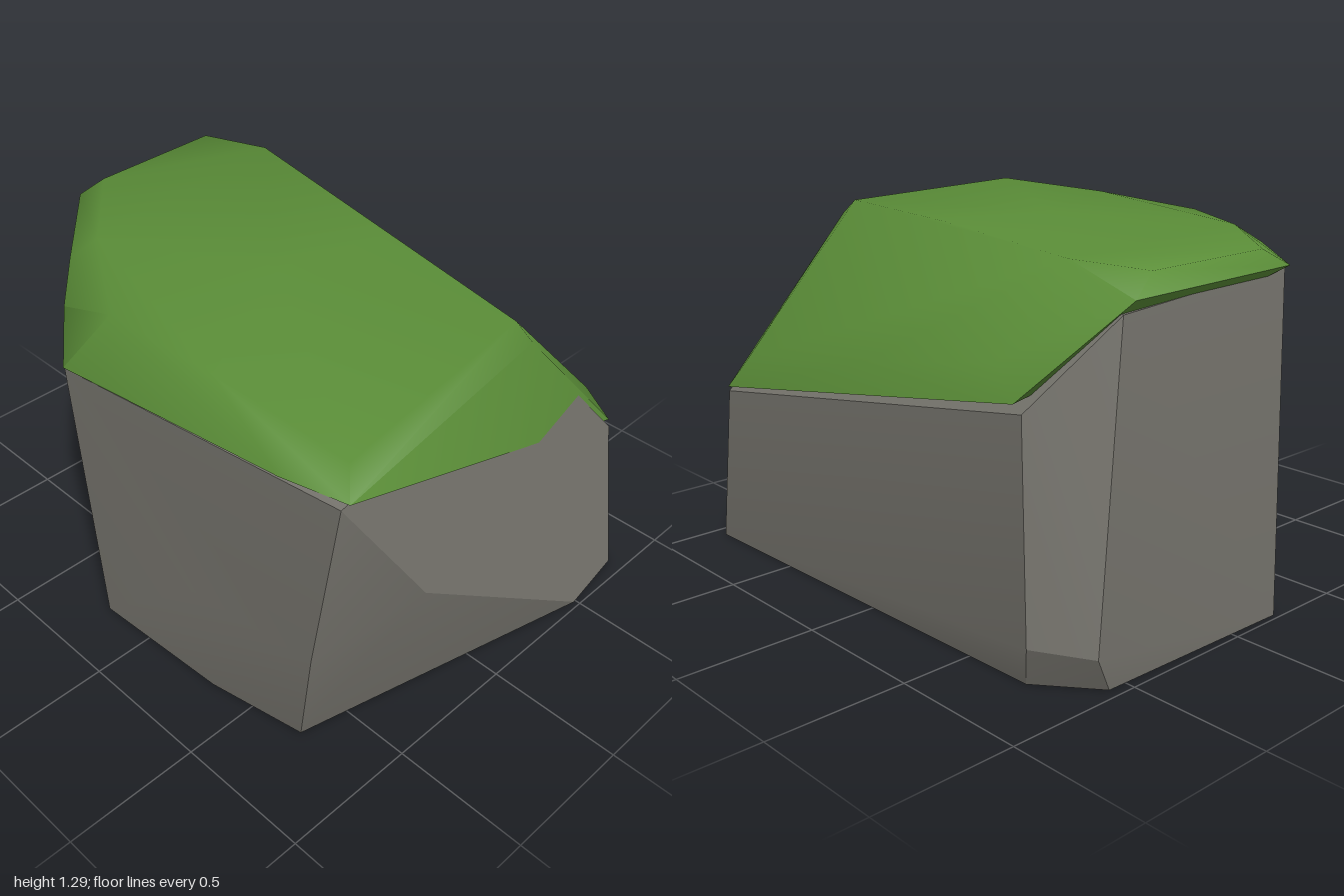
import * as THREE from 'three';
import { ConvexGeometry } from 'three/addons/geometries/ConvexGeometry.js';
import { toCreasedNormals } from 'three/addons/utils/BufferGeometryUtils.js';

// Convex block from corner points, with edges sharper than the crease angle kept hard
function block(name, corners, material, crease) {
  const points = corners.map((c) => new THREE.Vector3(...c));
  const geometry = toCreasedNormals(new ConvexGeometry(points), crease);
  const mesh = new THREE.Mesh(geometry, material);
  mesh.name = name;
  return mesh;
}

export function createModel() {
  const stone = new THREE.MeshStandardMaterial({ color: 0x78766f });
  stone.name = 'stone grey';
  const grass = new THREE.MeshStandardMaterial({ color: 0x5b8e38 });
  grass.name = 'grass green';

  const rockCorners = [
    // foot outline
    [0.7, 0, 0.68], [0.33, 0, 0.75], [-0.22, 0, 0.78], [-0.98, 0, 0.22],
    [-0.96, 0, -0.57], [-0.76, 0, -0.73], [0.94, 0, -0.77], [0.98, 0, -0.49],
    // bulges in the sides
    [0.85, 0.55, 0.785], [0.3, 0.46, 0.785], [1.0, 0.71, 0.44],
    [-0.98, 0.13, -0.64], [-0.81, 0.15, -0.775],
    // upper rim, with the back cut away at a slope
    [-0.98, 1.215, 0.18], [-0.65, 1.205, 0.47], [-0.31, 1.06, 0.785],
    [0.96, 1.23, 0.785], [0.82, 1.22, -0.22], [0.84, 0.61, -0.77],
    [-0.79, 0.88, -0.775], [-0.98, 1.17, -0.56],
  ];

  const capCorners = [
    // rim along the rock's upper edge
    [-1.0, 1.22, 0.18], [-0.65, 1.215, 0.49], [-0.5, 1.15, 0.635],
    [-0.31, 1.065, 0.79], [-0.05, 1.11, 0.79], [0.72, 1.21, 0.79],
    [0.97, 1.24, 0.76], [0.825, 1.23, -0.23], [0.83, 0.63, -0.78],
    [-0.77, 0.91, -0.79], [-1.0, 1.21, -0.53],
    // raised turf on top
    [-0.96, 1.275, -0.42], [-0.95, 1.275, 0.1], [-0.6, 1.28, 0.4],
    [-0.2, 1.265, 0.66], [0.3, 1.285, 0.66], [0.88, 1.285, 0.67],
    [0.76, 1.285, -0.22], [0, 1.292, 0.1], [0.1, 1.29, -0.33],
    [-0.7, 1.285, -0.5],
    // raised turf on the back slope
    [0.74, 0.75, -0.74], [0, 0.88, -0.75], [-0.64, 1.0, -0.745],
  ];

  const group = new THREE.Group();
  group.name = 'mossyRock';
  group.add(block('rock', rockCorners, stone, 0.42));
  group.add(block('grassCap', capCorners, grass, 1.0));
  return group;
}
